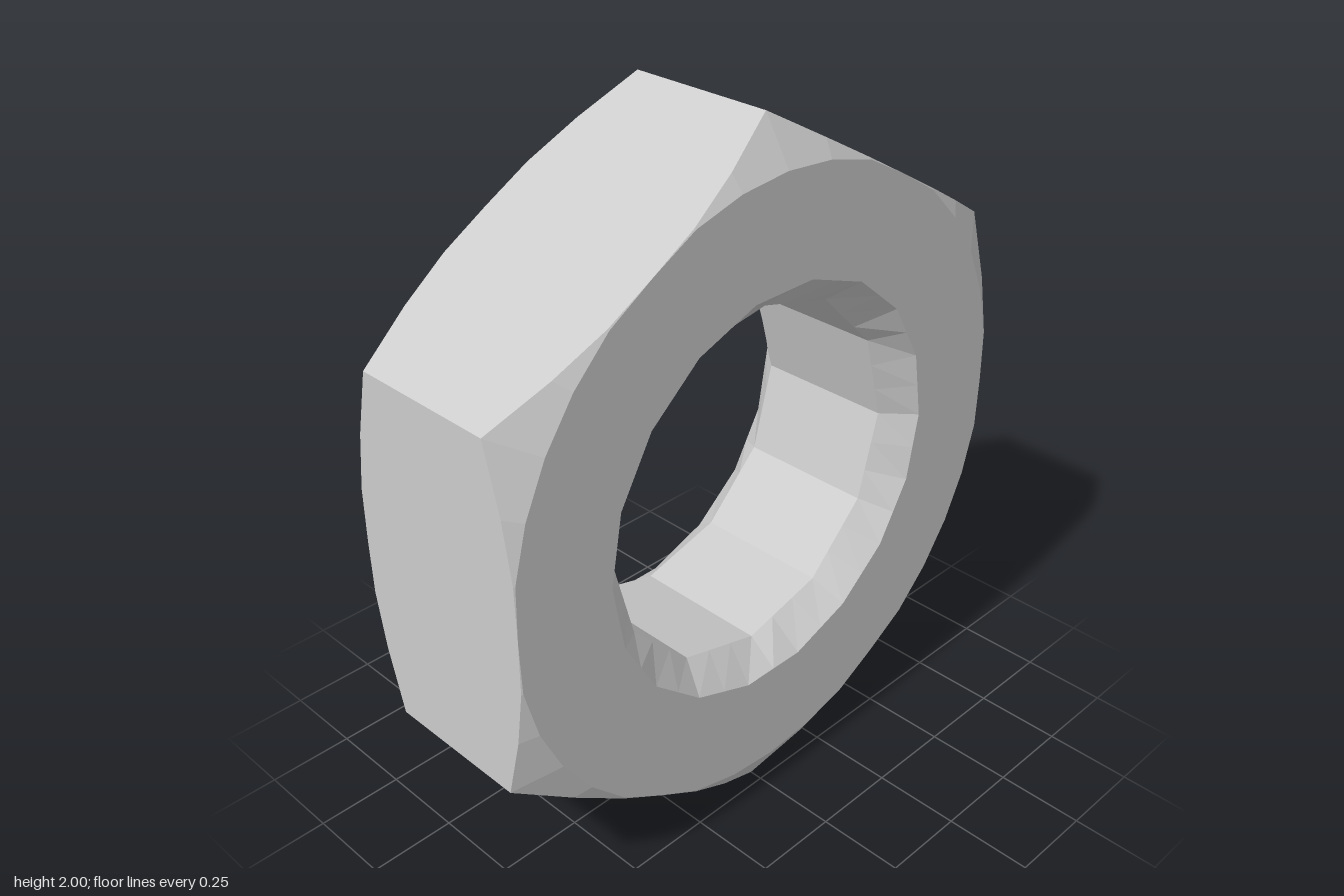
import * as THREE from 'three';

const STEPS = 36;          // angular sections
const APOTHEM = Math.sqrt(3) / 2;
const HALF = 0.287;        // half thickness
const FACE_R = 0.875;      // where the corner chamfer begins
const SLOPE = 0.075 / (1 - FACE_R);

// Radius at an angle of a regular polygon with a corner at angle `start`
function polygonRadius(angle, sides, radius, start) {
  const seg = 2 * Math.PI / sides;
  const a = (((angle - start) % seg) + seg) % seg - seg / 2;
  return radius * Math.cos(seg / 2) / Math.cos(a);
}

// Closed cross-section [radius, z] of the nut at one angle
function section(angle) {
  const hex = polygonRadius(angle, 6, APOTHEM / Math.cos(Math.PI / 6), Math.PI / 6);
  const bore = polygonRadius(angle, 12, 0.505, Math.PI / 12 * 4);
  const mouth = polygonRadius(angle, 18, 0.58, 0);
  const edge = Math.min(hex, FACE_R);
  const rimZ = HALF - Math.max(0, hex - FACE_R) * SLOPE;
  const front = [[bore, HALF - 0.085], [mouth, HALF], [edge, HALF], [hex, rimZ]];
  const back = front.map(([r, z]) => [r, -z]).reverse();
  return [...front, ...back].map(([r, z]) =>
    new THREE.Vector3(r * Math.cos(angle), r * Math.sin(angle), z));
}

// Skin the sections around the axis
function nutGeometry() {
  const rings = [];
  for (let i = 0; i < STEPS; i++) rings.push(section(i / STEPS * 2 * Math.PI));
  const points = [];
  const addTriangle = (a, b, c) => {
    if (new THREE.Triangle(a, b, c).getArea() > 1e-7) points.push(a, b, c);
  };
  for (let i = 0; i < STEPS; i++) {
    const p = rings[i], q = rings[(i + 1) % STEPS];
    for (let j = 0; j < p.length; j++) {
      const k = (j + 1) % p.length;
      addTriangle(p[j], p[k], q[j]);
      addTriangle(q[j], p[k], q[k]);
    }
  }
  const geometry = new THREE.BufferGeometry().setFromPoints(points);
  geometry.computeVertexNormals();
  return geometry;
}

export function createModel() {
  const group = new THREE.Group();
  group.name = 'hexNut';
  const material = new THREE.MeshStandardMaterial({ color: 0xcccccc, flatShading: true });
  const nut = new THREE.Mesh(nutGeometry(), material);
  nut.name = 'nutBody';
  nut.position.y = 1;
  group.add(nut);
  return group;
}
